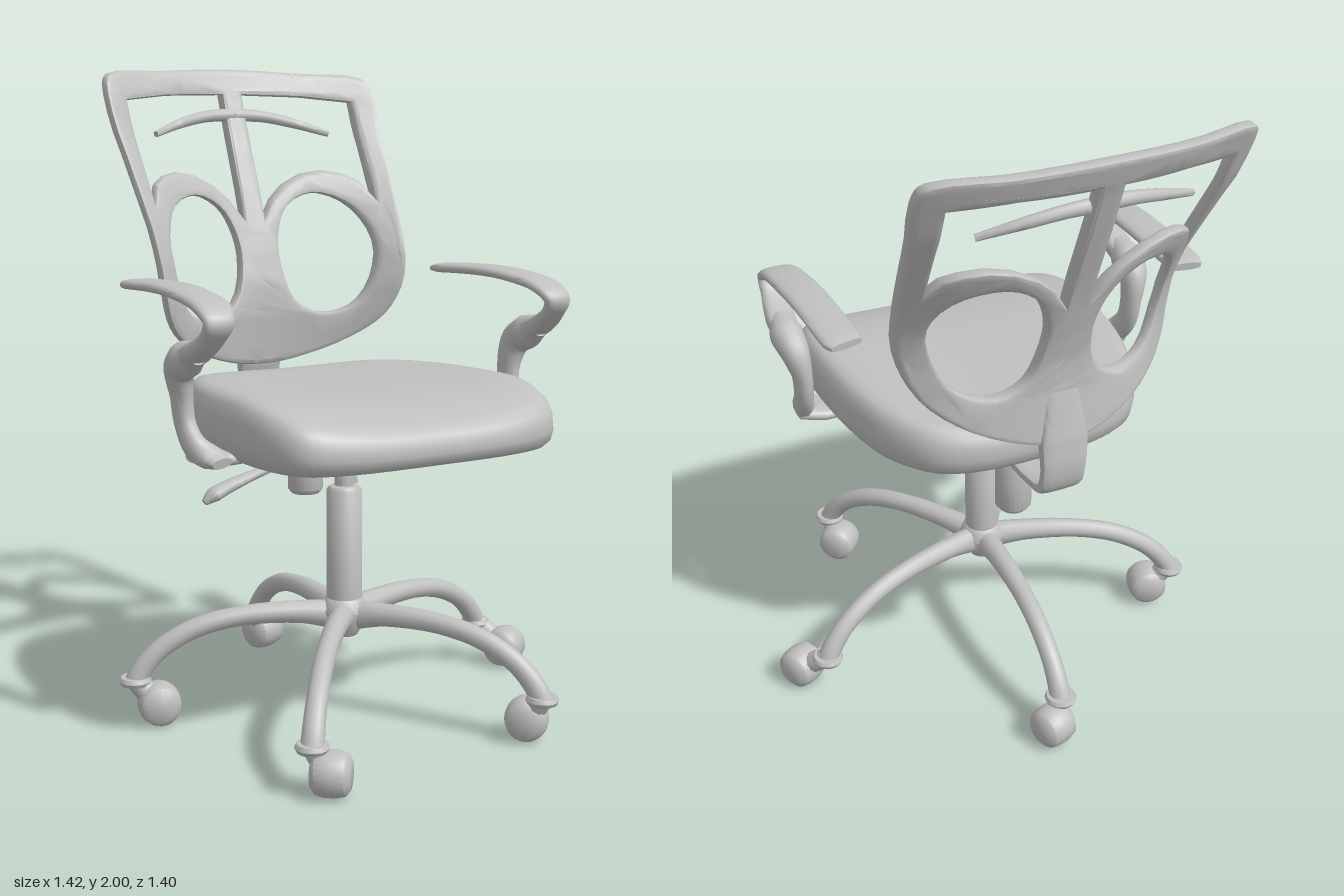
import * as THREE from 'three';
import { toCreasedNormals } from 'three/addons/utils/BufferGeometryUtils.js';

const CX = -0.055, CZ = 0.085; // chair axis

const V = (x, y, z) => new THREE.Vector3(x, y, z);

// closed skin over a list of rings, each running counter-clockwise about the direction of travel
function skin(rings, crease = 0.8) {
  const n = rings[0].length, pos = [], idx = [];
  const middle = r => r.reduce((s, p) => s.add(p), V(0, 0, 0)).divideScalar(n);
  rings.forEach(r => r.forEach(p => pos.push(p.x, p.y, p.z)));
  const m = rings.length, c0 = m * n, c1 = c0 + 1;
  [middle(rings[0]), middle(rings[m - 1])].forEach(p => pos.push(p.x, p.y, p.z));
  for (let j = 0; j < n; j++) {
    const k = (j + 1) % n;
    for (let i = 0; i < m - 1; i++) {
      const a = i * n + j, b = i * n + k, c = b + n, d = a + n;
      idx.push(a, b, d, b, c, d);
    }
    idx.push(c0, k, j, c1, (m - 1) * n + j, (m - 1) * n + k);
  }
  const g = new THREE.BufferGeometry();
  g.setAttribute('position', new THREE.Float32BufferAttribute(pos, 3));
  g.setIndex(idx);
  return toCreasedNormals(g, crease);
}

// sweep of an oval section; stops are [x, y, z, half width along side, half thickness]
function sweep(stops, side, segs = 24, radial = 14, square = 1) {
  const curve = new THREE.CatmullRomCurve3(stops.map(s => V(s[0], s[1], s[2])), false, 'centripetal');
  const power = v => Math.sign(v) * Math.abs(v) ** square;
  const rings = [];
  for (let i = 0; i <= segs; i++) {
    const t = i / segs, f = t * (stops.length - 1), k = Math.min(Math.floor(f), stops.length - 2);
    const size = q => THREE.MathUtils.lerp(stops[k][q], stops[k + 1][q], f - k);
    const C = curve.getPoint(t), T = curve.getTangent(t);
    const S = side.clone().addScaledVector(T, -side.dot(T)).normalize();
    const N = T.clone().cross(S);
    rings.push(Array.from({ length: radial }, (_, j) => {
      const a = j / radial * Math.PI * 2;
      return C.clone().addScaledVector(S, power(Math.cos(a)) * size(3)).addScaledVector(N, power(Math.sin(a)) * size(4));
    }));
  }
  return skin(rings);
}

// bisect long edges so that a flat plate can be bent smoothly
function refine(geometry, limit) {
  const src = (geometry.index ? geometry.toNonIndexed() : geometry).getAttribute('position'), out = [];
  const split = (a, b, c) => {
    const ab = a.distanceTo(b), bc = b.distanceTo(c), ca = c.distanceTo(a);
    if (Math.max(ab, bc, ca) <= limit) {
      out.push(...a.toArray(), ...b.toArray(), ...c.toArray());
    } else if (ab >= bc && ab >= ca) {
      const m = a.clone().add(b).multiplyScalar(0.5);
      split(a, m, c);
      split(m, b, c);
    } else if (bc >= ca) {
      split(b, c, a);
    } else {
      split(c, a, b);
    }
  };
  const at = i => new THREE.Vector3().fromBufferAttribute(src, i);
  for (let i = 0; i < src.count; i += 3) split(at(i), at(i + 1), at(i + 2));
  const g = new THREE.BufferGeometry();
  g.setAttribute('position', new THREE.Float32BufferAttribute(out, 3));
  return g;
}

// depth of the curved backrest: rows of [y, z at centre, sideways curvature]
const SHELL = [[1.0, -0.46, 0.8], [1.2, -0.44, 0.88], [1.3, -0.445, 0.96], [1.4, -0.47, 1.0], [1.5, -0.5, 0.9],
  [1.6, -0.535, 0.75], [1.8, -0.615, 0.5], [2.0, -0.685, 0.4]];
function shellZ(dx, y) {
  let k = 0;
  while (k < SHELL.length - 2 && y > SHELL[k + 1][0]) k++;
  const [a, b] = [SHELL[k], SHELL[k + 1]], t = (y - a[0]) / (b[0] - a[0]);
  return THREE.MathUtils.lerp(a[1], b[1], t) + THREE.MathUtils.lerp(a[2], b[2], t) * dx * dx;
}

const loop = (pts, n) => new THREE.CatmullRomCurve3(pts.map(p => V(p[0], p[1], 0)), true, 'centripetal')
  .getPoints(n).slice(0, n).map(p => new THREE.Vector2(p.x, p.y));
const mirrored = half => [...half, ...half.slice(1, -1).reverse().map(p => [-p[0], p[1]])];

function backrestGeometry() {
  const outline = mirrored([[0, 1.035], [0.1, 1.043], [0.27, 1.1], [0.385, 1.185], [0.435, 1.3], [0.455, 1.5],
    [0.475, 1.7], [0.492, 1.92], [0.472, 1.972], [0.25, 1.99], [0, 2.0]]);
  const windowPts = [[0.038, 1.915], [0.25, 1.91], [0.415, 1.893], [0.412, 1.75], [0.405, 1.57], [0.375, 1.63],
    [0.33, 1.655], [0.27, 1.667], [0.2, 1.655], [0.13, 1.62], [0.08, 1.575], [0.038, 1.51]];
  const eye = [[0.215, 1.592], [0.125, 1.55], [0.083, 1.47], [0.073, 1.38], [0.11, 1.25], [0.2, 1.2], [0.3, 1.225],
    [0.36, 1.33], [0.372, 1.46], [0.315, 1.56]];
  const shape = new THREE.Shape(loop(outline, 72));
  for (const s of [1, -1]) {
    shape.holes.push(new THREE.Path(windowPts.map(p => new THREE.Vector2(s * p[0], p[1]))));
    shape.holes.push(new THREE.Path(loop(eye.map(p => [s * p[0], p[1]]), 32)));
  }
  const plate = new THREE.ExtrudeGeometry(shape, { depth: 0.024, bevelThickness: 0.014, bevelSize: 0.014,
    bevelOffset: -0.014, bevelSegments: 2, curveSegments: 1 });
  const g = refine(plate, 0.07), p = g.getAttribute('position');
  for (let i = 0; i < p.count; i++) p.setZ(i, p.getZ(i) - 0.012 + shellZ(p.getX(i), p.getY(i)));
  return toCreasedNormals(g, 0.7).translate(CX, 0, 0);
}

function seatGeometry() {
  const plan = loop(mirrored([[0, 0.605], [0.3, 0.595], [0.43, 0.55], [0.482, 0.42], [0.487, 0.2], [0.465, 0],
    [0.415, -0.17], [0.325, -0.3], [0.2, -0.352], [0, -0.365]]), 72);
  const profile = [[0.3, 0.87], [0.88, 0.87], [0.95, 0.88], [0.985, 0.905], [1, 0.95], [0.995, 1.0], [0.975, 1.04],
    [0.94, 1.062], [0.88, 1.072], [0.7, 1.074], [0.45, 1.074], [0.2, 1.074]];
  return skin(profile.map(([s, h]) => plan.map(p => {
    const x = p.x * s, z = 0.12 + (p.y - 0.12) * s, top = (h - 0.87) / 0.2;
    const nose = Math.max(0, (z - 0.25) / 0.35), tail = Math.max(0, (-z - 0.1) / 0.26);
    const y = h - top * (0.06 * nose * nose + 0.035 * (1 - (x / 0.49) ** 2)) + 0.02 * tail * (1 - top);
    return V(x - 0.047, y, z);
  })), 0.9);
}

export function createModel() {
  const model = new THREE.Group();
  const grey = new THREE.MeshStandardMaterial({ color: 0xc0c0c0 });
  grey.name = 'light grey';
  const add = (name, geometry, x = 0, y = 0, z = 0) => {
    const mesh = new THREE.Mesh(geometry, grey);
    mesh.name = name;
    mesh.position.set(x, y, z);
    model.add(mesh);
    return mesh;
  };
  const lathe = (pts, n = 24) =>
    toCreasedNormals(new THREE.LatheGeometry(pts.map(p => new THREE.Vector2(p[0], p[1])), n), 0.7);
  const X = V(1, 0, 0), Y = V(0, 1, 0);

  add('seat', seatGeometry());
  add('backrest', backrestGeometry());

  // curved branches on the upper spine
  for (const s of [1, -1]) {
    const branch = [[0, 1.85, 0.022], [0.1, 1.845, 0.019], [0.2, 1.825, 0.017], [0.32, 1.787, 0.01]];
    add('backBranch', sweep(branch.map(([d, y, r]) => [CX + s * d, y, shellZ(d, y) + 0.01, r, r]), Y, 16, 10));
  }

  // flat bar from under the seat up into the backrest
  add('backBar', sweep([[-0.045, 0.868, 0.2, 0.09, 0.016], [-0.045, 0.868, -0.1, 0.08, 0.016],
    [-0.045, 0.868, -0.4, 0.07, 0.018], [-0.045, 0.885, -0.465, 0.07, 0.02], [-0.045, 0.95, -0.485, 0.07, 0.02],
    [-0.05, 1.05, -0.47, 0.075, 0.028], [-0.05, 1.2, -0.45, 0.05, 0.018]], X, 36, 16, 0.5));

  // mechanism under the seat
  add('seatBracket', new THREE.BoxGeometry(0.16, 0.03, 0.2), -0.045, 0.842, 0.13);
  add('bracketLug', new THREE.BoxGeometry(0.03, 0.05, 0.03), -0.09, 0.82, 0.215);
  add('tensionKnob', lathe([[0, 0.64], [0.045, 0.64], [0.057, 0.655], [0.057, 0.8], [0.045, 0.86], [0, 0.86]]), -0.025, 0, -0.207);
  add('lever', sweep([[-0.03, 0.838, 0.05, 0.016, 0.016], [-0.15, 0.835, 0.045, 0.012, 0.012],
    [-0.27, 0.8, 0.04, 0.012, 0.012], [-0.4, 0.765, 0.04, 0.018, 0.026], [-0.48, 0.735, 0.04, 0.022, 0.03],
    [-0.51, 0.715, 0.04, 0.01, 0.012]], Y, 24, 10));
  add('leverPivot', sweep([[-0.01, 0.85, 0.045, 0.02, 0.02], [-0.01, 0.78, 0.05, 0.02, 0.025],
    [-0.01, 0.72, 0.06, 0.015, 0.02]], X, 8, 10));

  // gas column and hub
  add('column', lathe([[0, 0.25], [0.04, 0.25], [0.06, 0.28], [0.075, 0.33], [0.06, 0.365], [0.055, 0.37], [0.055, 0.71],
    [0.046, 0.722], [0.03, 0.725], [0.03, 0.86], [0, 0.86]], 28), CX, 0, CZ);

  // five legs with casters
  const casters = [[0.02, -0.595, 0.3], [0.635, 0.0, 0.5], [0.285, 0.575, 0.8], [-0.425, 0.625, -0.7], [-0.6, -0.11, 1.3]];
  const wheel = lathe([[0, -0.056], [0.042, -0.056], [0.06, -0.042], [0.066, -0.015], [0.066, 0.015], [0.06, 0.042],
    [0.042, 0.056], [0, 0.056]]).rotateZ(Math.PI / 2);
  casters.forEach(([wx, wz, yaw], i) => {
    const a = 0.053 + i * Math.PI * 2 / 5, dx = Math.sin(a), dz = -Math.cos(a);
    const path = [[0, 0.31, 0.04, 0.05], [0.14, 0.328, 0.035, 0.036], [0.32, 0.325, 0.031, 0.031], [0.46, 0.295, 0.031, 0.031],
      [0.57, 0.235, 0.031, 0.031], [0.63, 0.17, 0.033, 0.033], [0.65, 0.13, 0.035, 0.035]];
    add('leg', sweep(path.map(([r, y, w, t]) => [CX + dx * r, y, CZ + dz * r, w, t]), V(-dz, 0, dx), 24, 12));
    const ex = CX + dx * 0.65, ez = CZ + dz * 0.65;
    add('legCollar', lathe([[0, -0.012], [0.044, -0.012], [0.05, 0], [0.044, 0.012], [0, 0.012]], 18), ex, 0.138, ez);
    add('casterStem', sweep([[ex, 0.14, ez, 0.032, 0.032], [(ex + wx) / 2, 0.1, (ez + wz) / 2, 0.035, 0.035],
      [wx, 0.07, wz, 0.03, 0.03]], V(-dz, 0, dx), 8, 10));
    add('casterWheel', wheel, wx, 0.066, wz).rotation.y = yaw;
  });

  // armrests: looped pad strip, pivot knuckle, post and foot
  for (const s of [1, -1]) {
    const at = stops => stops.map(([d, ...rest]) => [CX + s * d, ...rest]);
    add('armPad', sweep(at([[0.55, 1.348, -0.2, 0.05, 0.012], [0.555, 1.35, -0.17, 0.06, 0.016], [0.56, 1.357, 0.05, 0.06, 0.017],
      [0.565, 1.35, 0.2, 0.06, 0.017], [0.57, 1.325, 0.34, 0.056, 0.018], [0.575, 1.29, 0.385, 0.045, 0.018],
      [0.58, 1.25, 0.36, 0.04, 0.02], [0.59, 1.2, 0.28, 0.045, 0.03], [0.59, 1.17, 0.2, 0.04, 0.035]]), X, 48, 16, 0.7));
    add('armPost', sweep(at([[0.59, 1.2, 0.28, 0.035, 0.035], [0.593, 1.175, 0.22, 0.052, 0.055], [0.588, 1.14, 0.165, 0.045, 0.05],
      [0.575, 1.06, 0.148, 0.03, 0.044], [0.57, 0.98, 0.16, 0.028, 0.042], [0.56, 0.92, 0.205, 0.032, 0.042],
      [0.53, 0.893, 0.25, 0.045, 0.03], [0.52, 0.885, 0.29, 0.035, 0.015]]), X, 36, 14));
    add('armFoot', sweep(at([[0.4, 0.885, 0.21, 0.05, 0.018], [0.5, 0.885, 0.21, 0.055, 0.02], [0.575, 0.9, 0.21, 0.04, 0.02]]),
      V(0, 0, 1), 8, 14, 0.7));
  }
  return model;
}
